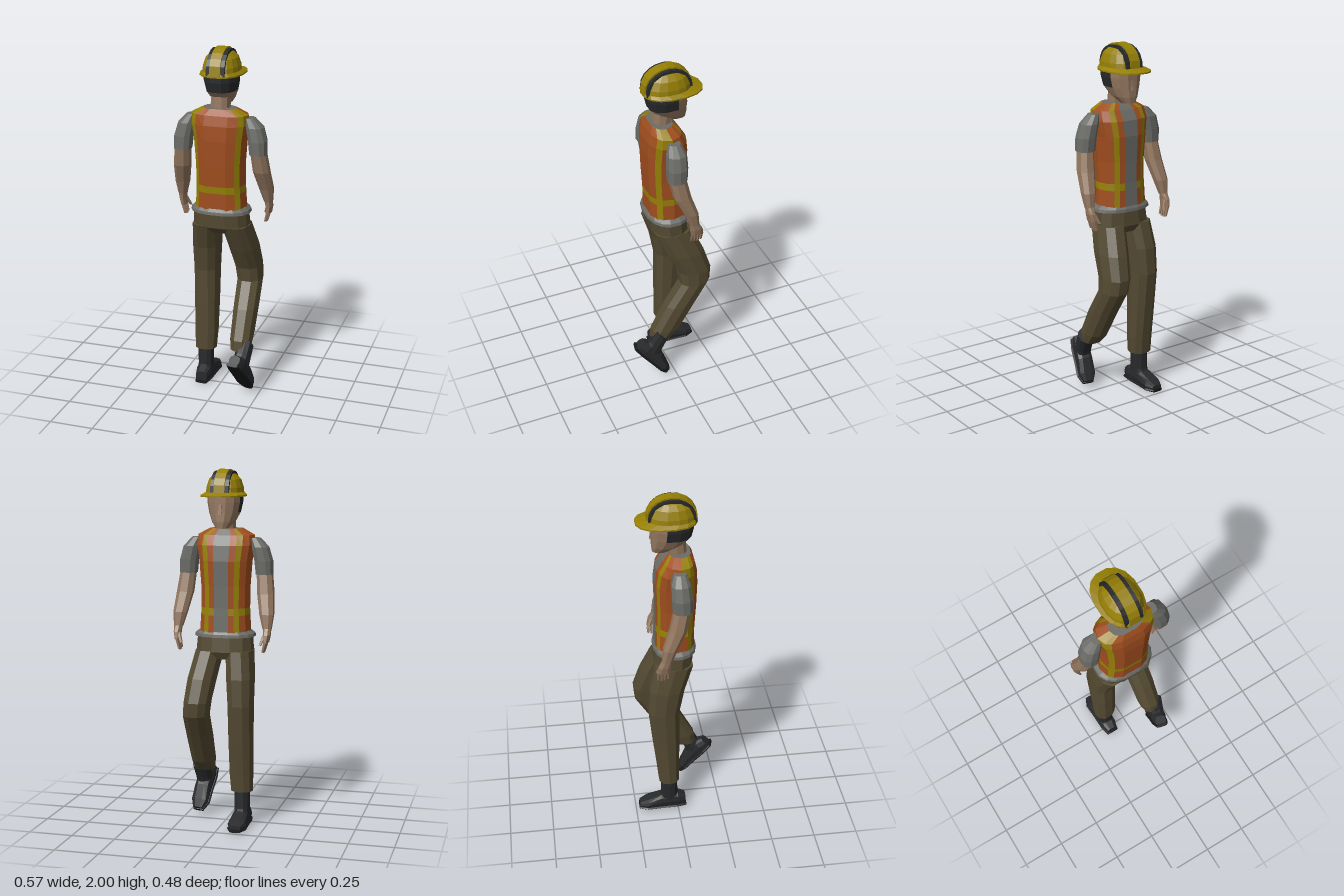
import * as THREE from 'three';

const mat = (name, color) => Object.assign(new THREE.MeshStandardMaterial({ color }), { name });
const yellow = mat('safetyYellow', 0x968006);
const orange = mat('vestOrange', 0xa04e1e);
const grey = mat('shirtGrey', 0x6c6d68);
const skin = mat('skin', 0x947860);
const olive = mat('trouserOlive', 0x544a32);
const dark = mat('darkGrey', 0x28292b);
const black = mat('soleBlack', 0x1a1a1c);

const evenAngles = n => Array.from({ length: n }, (_, i) => (i + 0.5) * 360 / n);

// Flat-shaded skin through level rings [x, y, z, rx, rz], listed bottom up.
// pick(row, degrees) names the material of each face; 0 degrees is the wearer's front (-z).
function loft(name, rings, material, angles = evenAngles(10), pick = null, power = 0.85) {
  const bins = new Map();
  const put = (m, ...pts) => {
    if (!bins.has(m)) bins.set(m, []);
    for (const p of pts) bins.get(m).push(...p);
  };
  const soft = v => Math.sign(v) * Math.abs(v) ** power;
  const loops = rings.map(([x, y, z, rx, rz]) => angles.map(d => {
    const a = d * Math.PI / 180;
    return [x + rx * soft(Math.sin(a)), y, z - rz * soft(Math.cos(a))];
  }));
  const n = angles.length, last = rings.length - 1;
  for (let i = 0; i < n; i++) {
    const j = (i + 1) % n;
    const mid = j ? (angles[i] + angles[j]) / 2 : 0;
    for (let r = 0; r < last; r++) {
      const m = pick ? pick(r, mid) : material;
      const [a, b, c, d] = [loops[r][i], loops[r][j], loops[r + 1][j], loops[r + 1][i]];
      put(m, a, d, c, a, c, b);
    }
    put(material, rings[0].slice(0, 3), loops[0][i], loops[0][j]);
    put(material, rings[last].slice(0, 3), loops[last][j], loops[last][i]);
  }
  const geo = new THREE.BufferGeometry(), pos = [], mats = [...bins.keys()];
  mats.forEach((m, k) => {
    const list = bins.get(m);
    geo.addGroup(pos.length / 3, list.length / 3, k);
    for (const v of list) pos.push(v);
  });
  geo.setAttribute('position', new THREE.Float32BufferAttribute(pos, 3));
  geo.computeVertexNormals();
  const mesh = new THREE.Mesh(geo, mats);
  mesh.name = name;
  return mesh;
}

// Arched rib running front to back over the helmet
function rib(name, x, width, length, height, material) {
  const shape = new THREE.Shape();
  for (let i = 0; i <= 10; i++) {
    const a = Math.PI * i / 10;
    shape[i ? 'lineTo' : 'moveTo'](length * Math.cos(a), height * Math.sin(a) ** 0.8);
  }
  const geo = new THREE.ExtrudeGeometry(shape, { depth: width, bevelEnabled: false });
  geo.translate(0, 0, -width / 2).rotateY(Math.PI / 2);
  const mesh = new THREE.Mesh(geo, material);
  mesh.name = name;
  mesh.position.set(x, 1.86, -0.018);
  return mesh;
}

function createHead() {
  const g = new THREE.Group();
  g.name = 'head';
  g.add(loft('neck', [[0, 1.65, 0.012, 0.055, 0.052], [0, 1.74, 0, 0.056, 0.058]], skin));
  g.add(loft('face', [
    [0, 1.682, -0.08, 0.036, 0.045], [0, 1.715, -0.047, 0.062, 0.082], [0, 1.765, -0.02, 0.084, 0.108],
    [0, 1.82, -0.014, 0.095, 0.115], [0, 1.87, -0.014, 0.095, 0.115],
  ], skin, evenAngles(12), (r, d) => (r > 1 && d > 85 && d < 275 ? dark : skin)));
  g.add(loft('nose', [[0, 1.755, -0.125, 0.014, 0.015], [0, 1.81, -0.122, 0.008, 0.01]], skin, evenAngles(4)));
  // Helmet
  g.add(loft('helmetBrim', [
    [0, 1.852, -0.047, 0.122, 0.168], [0, 1.86, -0.047, 0.122, 0.168], [0, 1.875, -0.02, 0.102, 0.134],
  ], yellow, evenAngles(16)));
  g.add(loft('helmetDome', [
    [0, 1.86, -0.018, 0.103, 0.13], [0, 1.9, -0.018, 0.1, 0.124], [0, 1.945, -0.018, 0.086, 0.104],
    [0, 1.972, -0.018, 0.06, 0.074], [0, 1.985, -0.018, 0.028, 0.04],
  ], yellow, evenAngles(16)));
  g.add(rib('helmetRidge', 0, 0.06, 0.137, 0.14, yellow));
  for (const s of [-1, 1]) g.add(rib('helmetBand', s * 0.041, 0.022, 0.129, 0.131, dark));
  return g;
}

function createTorso() {
  const g = new THREE.Group();
  g.name = 'torso';
  const half = [13, 26, 40, 60, 90, 119, 137, 160];
  const angles = [...half, ...half.map(d => 360 - d).reverse()];
  // Open-fronted vest with reflective stripes that widen over the shoulders
  g.add(loft('vest', [
    [0, 1.1, -0.008, 0.148, 0.113], [0, 1.2, -0.006, 0.142, 0.111], [0, 1.24, -0.004, 0.14, 0.111],
    [0, 1.36, 0, 0.141, 0.115], [0, 1.5, 0, 0.152, 0.12], [0, 1.585, 0.004, 0.166, 0.112],
    [0, 1.64, 0.014, 0.162, 0.088], [0, 1.675, 0.022, 0.095, 0.062],
  ], grey, angles, (r, d) => {
    const side = d > 180 ? 360 - d : d;
    if (side < 13) return grey;
    const stripe = (side > 26 && side < 40) || (side > (r > 4 ? 90 : 119) && side < 137);
    return r === 1 || stripe ? yellow : orange;
  }));
  g.add(loft('shirtHem', [[0, 1.078, -0.008, 0.172, 0.122], [0, 1.095, -0.008, 0.168, 0.12], [0, 1.112, -0.008, 0.146, 0.11]],
    grey, evenAngles(16)));
  return g;
}

function createArm(s) {
  const g = new THREE.Group();
  g.name = 'arm';
  const add = (name, rings, m, n) =>
    g.add(loft(name, rings.map(([x, ...rest]) => [s * x, ...rest]), m, evenAngles(n)));
  add('sleeve', [
    [0.218, 1.425, 0.012, 0.051, 0.055], [0.213, 1.5, 0.01, 0.054, 0.058],
    [0.195, 1.575, 0.006, 0.05, 0.054], [0.165, 1.625, 0.006, 0.03, 0.034],
  ], grey, 10);
  add('forearm', [
    [0.254, 1.13, -0.077, 0.025, 0.028], [0.247, 1.21, -0.058, 0.041, 0.04],
    [0.231, 1.32, -0.012, 0.048, 0.049], [0.219, 1.435, 0.012, 0.045, 0.048],
  ], skin, 8);
  add('palm', [[0.252, 1.06, -0.095, 0.016, 0.038], [0.256, 1.1, -0.089, 0.02, 0.036], [0.254, 1.14, -0.075, 0.023, 0.027]], skin, 8);
  for (let i = 0; i < 4; i++) {
    const z = -0.123 + i * 0.018;
    add('finger', [[0.238, 1.0 + Math.abs(i - 1.3) * 0.006, z, 0.007, 0.007], [0.252, 1.065, z, 0.01, 0.009]], skin, 5);
  }
  add('thumb', [[0.224, 1.045, -0.128, 0.008, 0.008], [0.245, 1.1, -0.105, 0.012, 0.012]], skin, 5);
  return g;
}

// Boot modelled with its toe towards -z and its sole on y = 0; lean moves the shaft top back
function createBoot(name, shaftTop, lean) {
  const g = new THREE.Group();
  g.name = name;
  const along = (part, rings, m) => {
    const mesh = loft(part, rings, m, evenAngles(10), null, 0.7);
    mesh.geometry.rotateX(-Math.PI / 2);
    g.add(mesh);
  };
  // The rings run forwards: [x, forward, up, half width, half height]
  along('bootFoot', [
    [0, -0.095, 0.042, 0.034, 0.032], [0, -0.05, 0.05, 0.046, 0.045], [0, 0.05, 0.046, 0.048, 0.041],
    [0, 0.13, 0.032, 0.052, 0.026], [0, 0.175, 0.025, 0.032, 0.015],
  ], dark);
  along('bootSole', [
    [0, -0.1, 0.01, 0.037, 0.01], [0, -0.04, 0.01, 0.049, 0.01], [0, 0.05, 0.01, 0.051, 0.01],
    [0, 0.13, 0.01, 0.056, 0.01], [0, 0.18, 0.01, 0.033, 0.01],
  ], black);
  g.add(loft('bootShaft', [
    [0, 0.04, 0, 0.045, 0.066], [0, 0.1, lean * 0.4, 0.045, 0.05], [0, shaftTop, lean, 0.046, 0.047],
  ], dark));
  return g;
}

function createLegs() {
  const g = new THREE.Group();
  g.name = 'legs';
  g.add(loft('hips', [[0, 0.955, -0.025, 0.1, 0.08], [0, 0.995, -0.016, 0.162, 0.11], [0, 1.09, -0.008, 0.155, 0.108]],
    olive, evenAngles(12)));
  g.add(loft('plantedTrouserLeg', [
    [-0.108, 0.2, -0.052, 0.064, 0.06], [-0.105, 0.3, -0.057, 0.069, 0.066], [-0.105, 0.5, -0.068, 0.072, 0.08],
    [-0.106, 0.7, -0.079, 0.074, 0.091], [-0.1, 0.85, -0.06, 0.08, 0.102], [-0.086, 1.0, -0.018, 0.079, 0.11],
  ], olive));
  g.add(loft('bentTrouserLeg', [
    [0.143, 0.28, 0.078, 0.057, 0.062], [0.142, 0.34, 0.045, 0.066, 0.088], [0.14, 0.5, -0.045, 0.072, 0.093],
    [0.136, 0.64, -0.135, 0.074, 0.09], [0.128, 0.72, -0.135, 0.077, 0.098],
    [0.113, 0.85, -0.083, 0.081, 0.11], [0.086, 1.0, -0.018, 0.079, 0.11],
  ], olive));
  const planted = createBoot('plantedBoot', 0.215, 0);
  planted.position.set(-0.108, 0, -0.05);
  const lifted = createBoot('liftedBoot', 0.18, 0.055);
  lifted.position.set(0.152, 0.157, 0.178);
  lifted.rotation.set(-0.86, -0.23, 0, 'YXZ');
  g.add(planted, lifted);
  return g;
}

export function createModel() {
  const model = new THREE.Group();
  model.name = 'walkingBuilder';
  model.add(createHead(), createTorso(), createArm(-1), createArm(1), createLegs());
  return model;
}
